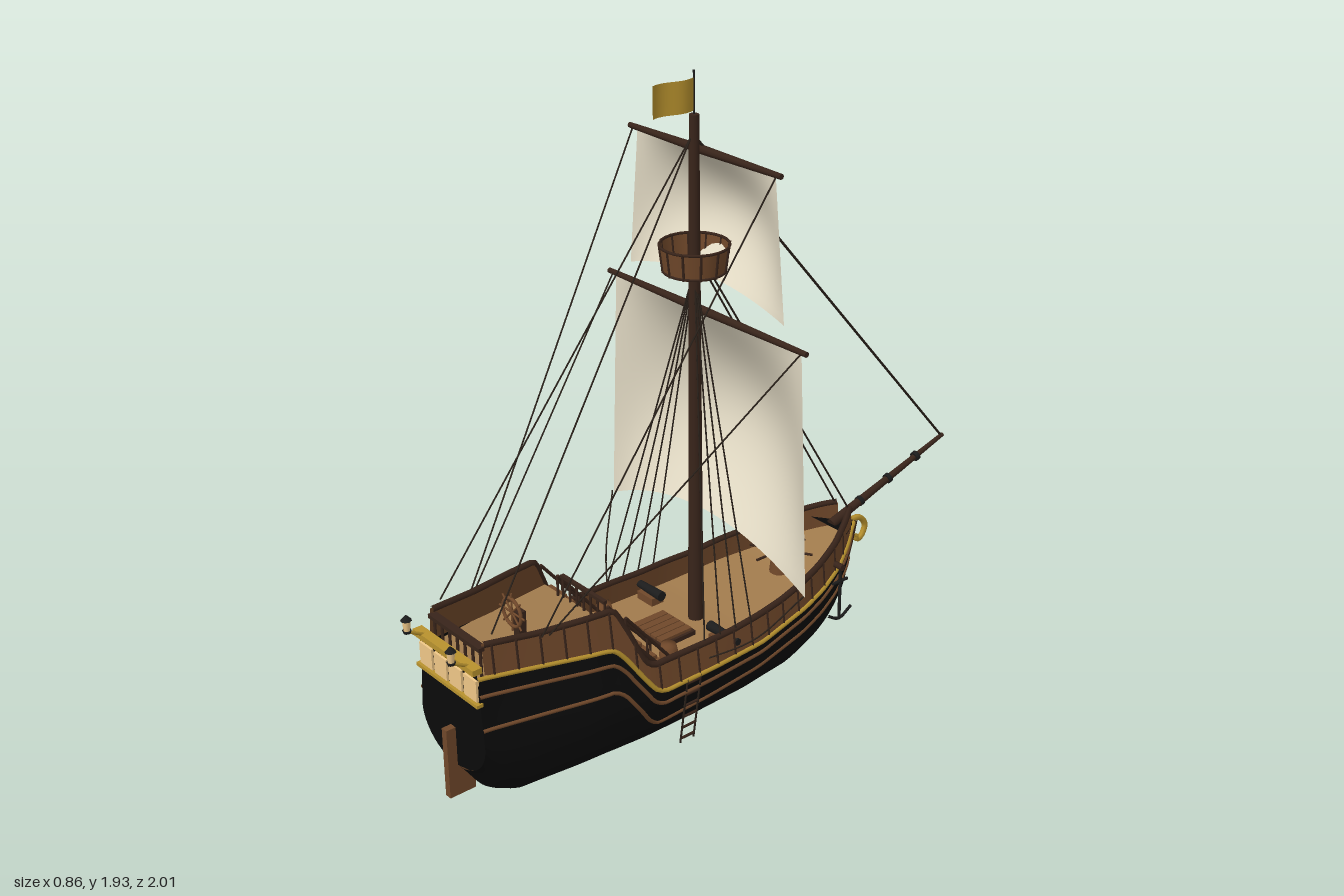
import * as THREE from 'three';

const mat = (color, double) => new THREE.MeshStandardMaterial({ color, side: double ? THREE.DoubleSide : THREE.FrontSide });
const M = {
  hull: mat(0x0b0b0b, true), wood: mat(0x70482a, true), dark: mat(0x38241a), deck: mat(0xa07a4c, true),
  sail: mat(0xe2dac4, true), gold: mat(0xb8922e, true), rope: mat(0x2a211a), pane: mat(0xf0c888), iron: mat(0x1c1c1c),
};
const V = (x, y, z) => new THREE.Vector3(x, y, z);

// Smoothed lookup of a value along the ship, from [z, value] pairs in rising z
const along = (pts, blur = 0.02) => {
  const lin = (z) => {
    if (z <= pts[0][0]) return pts[0][1];
    for (let i = 1; i < pts.length; i++) {
      const [a, va] = pts[i - 1], [b, vb] = pts[i];
      if (z <= b) return va + (vb - va) * (z - a) / (b - a);
    }
    return pts[pts.length - 1][1];
  };
  return (z) => [-1, -0.5, 0, 0.5, 1].reduce((s, k) => s + lin(z + k * blur) / 5, 0);
};
const keel = along([[-0.6, 0.36], [-0.57, 0.24], [-0.53, 0.12], [-0.45, 0.07], [-0.35, 0.03], [-0.2, 0], [0.78, 0], [0.86, 0.04], [0.93, 0.14]], 0.01);
const sheer = along([[-0.6, 0.36], [-0.3, 0.295], [0, 0.258], [0.4, 0.255], [0.52, 0.43], [0.93, 0.47]]);
const railTop = along([[-0.54, 0.43], [-0.3, 0.375], [-0.1, 0.345], [0.1, 0.335], [0.42, 0.34], [0.51, 0.54], [0.74, 0.545], [0.9, 0.56]], 0.01);
const beam = along([[-0.6, 0], [-0.5, 0.075], [-0.4, 0.135], [-0.3, 0.172], [-0.2, 0.2], [0, 0.23], [0.2, 0.24], [0.4, 0.24], [0.6, 0.215], [0.8, 0.175], [0.93, 0.15]]);

// Half width of the hull: quarter ellipse below, leaning inward above
function halfWidth(z, y) {
  const k = keel(z), m = z < 0.4 ? sheer(z) : 0.26;
  if (y >= m) return beam(z) * (1 - 0.6 * (y - m));
  const s = Math.max(0, Math.min(1, (y - k) / (m - k)));
  return beam(z) * Math.sqrt(1 - (1 - s) ** 2);
}

// Surface from a rule f(u, v), u and v in 0..1
function sheet(nu, nv, f) {
  const pos = [], idx = [];
  for (let i = 0; i <= nu; i++) for (let j = 0; j <= nv; j++) pos.push(...f(i / nu, j / nv));
  for (let i = 0; i < nu; i++) for (let j = 0; j < nv; j++) {
    const a = i * (nv + 1) + j, b = a + nv + 1;
    idx.push(a, b, a + 1, b, b + 1, a + 1);
  }
  const g = new THREE.BufferGeometry();
  g.setAttribute('position', new THREE.Float32BufferAttribute(pos, 3));
  g.setIndex(idx);
  g.computeVertexNormals();
  return g;
}

export function createModel() {
  const ship = new THREE.Group();
  ship.name = 'sailingShip';
  const add = (name, geo, m, x = 0, y = 0, z = 0) => {
    const mesh = new THREE.Mesh(geo, m);
    mesh.name = name;
    mesh.position.set(x, y, z);
    ship.add(mesh);
    return mesh;
  };
  const box = (name, m, w, h, d, x, y, z) => add(name, new THREE.BoxGeometry(w, h, d), m, x, y, z);
  const drum = (name, m, r1, r2, h, x, y, z, n = 16) => add(name, new THREE.CylinderGeometry(r1, r2, h, n), m, x, y, z);
  const rod = (name, m, a, b, r1, r2 = r1, n = 8) => {
    const mesh = drum(name, m, r2, r1, a.distanceTo(b), 0, 0, 0, n);
    mesh.position.copy(a).lerp(b, 0.5);
    mesh.quaternion.setFromUnitVectors(V(0, 1, 0), b.clone().sub(a).normalize());
    return mesh;
  };
  const tube = (name, m, pts, r, n = 60) => add(name, new THREE.TubeGeometry(new THREE.CatmullRomCurve3(pts), n, r, 6), m);
  const rope = (a, b, r = 0.0025) => rod('rope', M.rope, a, b, r, r, 5);
  const sides = [-1, 1];

  // Hull, transom and stem
  add('hull', sheet(90, 32, (u, v) => {
    const z = 0.93 - 1.53 * u, t = v * 2 - 1, y = keel(z) + (sheer(z) - keel(z)) * t * t;
    return [Math.sign(t) * halfWidth(z, y), y, z];
  }), M.hull);
  add('transom', sheet(24, 2, (u, v) => {
    const y = keel(0.93) + (0.5 - keel(0.93)) * u;
    return [(v * 2 - 1) * halfWidth(0.93, y), y, 0.93];
  }), M.hull);
  tube('stem', M.dark, [V(0, 0.12, -0.525), V(0, 0.2, -0.555), V(0, 0.28, -0.58), V(0, 0.36, -0.6)], 0.013, 16);
  box('rudder', M.wood, 0.022, 0.22, 0.085, 0, 0.15, 0.918);

  // Decks and bulkhead
  const deck = (name, z0, z1, yOf) => add(name, sheet(40, 2, (u, v) => {
    const z = z0 + (z1 - z0) * u, y = yOf(z);
    return [(1 - 2 * v) * halfWidth(z, y) * 0.97, y, z];
  }), M.deck);
  deck('mainDeck', 0.47, -0.56, (z) => sheer(Math.min(z, 0.36)) + 0.004);
  deck('quarterDeck', 0.92, 0.47, () => 0.445);
  add('bulkhead', sheet(2, 6, (u, v) => {
    const y = 0.25 + 0.195 * v;
    return [(u * 2 - 1) * halfWidth(0.47, y) * 0.97, y, 0.47];
  }), M.wood);
  add('prowCover', sheet(8, 2, (u, v) => {
    const z = -0.48 - 0.11 * u;
    return [(1 - 2 * v) * beam(z), sheer(z) + 0.05 * (1 - u), z];
  }), M.hull);

  for (const s of sides) {
    // Bulwark with caps, seam posts and hull mouldings
    for (const inset of [0, 0.014]) add('bulwark', sheet(70, 3, (u, v) => {
      const z = 0.9 - 1.45 * u, y = sheer(z) + (railTop(z) - sheer(z)) * v;
      return [s * Math.max(0.004, halfWidth(z, y) - inset), y, z];
    }), M.wood);
    const line = (yOf, z0, z1, out) => Array.from({ length: 50 }, (_, i) => {
      const z = z0 + (z1 - z0) * i / 49, y = yOf(z);
      return V(s * (halfWidth(z, y) + out), y, z);
    });
    tube('railCap', M.dark, line(railTop, 0.9, -0.55, -0.007), 0.01, 90);
    tube('goldMoulding', M.gold, line((z) => sheer(z), 0.93, -0.59, 0.001), 0.007, 90);
    tube('upperMoulding', M.wood, line((z) => sheer(z) - 0.035 - 0.02 * Math.max(0, z), 0.93, -0.575, 0), 0.006, 90);
    tube('lowerMoulding', M.wood, line((z) => sheer(z) - 0.09 - 0.07 * Math.max(0, z), 0.93, -0.545, 0), 0.006, 90);
    for (let z = 0.88; z > -0.52; z -= 0.07) {
      const p = (y) => V(s * (halfWidth(z, y) + 0.001), y, z);
      rod('bulwarkPost', M.dark, p(sheer(z)), p(railTop(z)), 0.004, 0.004, 4);
    }

    // Stairs to the quarterdeck with a handrail
    for (let i = 0; i < 6; i++) box('stairStep', M.wood, 0.075, 0.012, 0.026, s * 0.155, 0.28 + i * 0.03, 0.33 + i * 0.026);
    for (const x of [0.115, 0.195]) {
      rod('stairStringer', M.dark, V(s * x, 0.26, 0.32), V(s * x, 0.44, 0.475), 0.007);
      rod('handrail', M.dark, V(s * x, 0.33, 0.33), V(s * x, 0.51, 0.48), 0.005);
      for (const t of [0, 0.5, 1]) rod('baluster', M.dark, V(s * x, 0.26 + 0.18 * t, 0.33 + 0.15 * t), V(s * x, 0.33 + 0.18 * t, 0.33 + 0.15 * t), 0.004);
    }
    // Cask and cannon
    add('cask', new THREE.LatheGeometry([[0, 0], [0.022, 0], [0.029, 0.035], [0.022, 0.07], [0, 0.07]].map(([x, y]) => new THREE.Vector2(x, y)), 14), M.wood, s * 0.15, 0.26, 0.29);
    box('gunCarriage', M.wood, 0.07, 0.025, 0.045, s * 0.165, 0.275, 0.1);
    rod('cannon', M.iron, V(s * 0.11, 0.298, 0.1), V(s * 0.235, 0.298, 0.1), 0.016, 0.011, 12);

    // Anchor hanging from its beam
    rod('anchorBeam', M.dark, V(s * 0.1, 0.34, -0.38), V(s * 0.175, 0.34, -0.38), 0.01);
    rod('anchorShank', M.iron, V(s * 0.165, 0.33, -0.38), V(s * 0.165, 0.16, -0.38), 0.005);
    rod('anchorStock', M.iron, V(s * 0.165, 0.29, -0.41), V(s * 0.165, 0.29, -0.35), 0.005);
    tube('anchorArms', M.iron, [V(s * 0.165, 0.185, -0.43), V(s * 0.165, 0.16, -0.38), V(s * 0.165, 0.185, -0.33)], 0.005, 12);

    // Boarding ladder
    for (const z of [0.25, 0.3]) rod('ladderSide', M.rope, V(s * 0.245, 0.26, z), V(s * 0.21, 0.03, z), 0.003);
    for (let i = 0; i < 6; i++) rod('ladderRung', M.dark, V(s * (0.212 + i * 0.006), 0.045 + i * 0.04, 0.25), V(s * (0.212 + i * 0.006), 0.045 + i * 0.04, 0.3), 0.004);

    // Stern lantern
    rod('lanternArm', M.gold, V(s * 0.105, 0.5, 0.93), V(s * 0.105, 0.53, 0.985), 0.005);
    drum('lanternGlass', M.pane, 0.012, 0.009, 0.032, s * 0.105, 0.552, 0.99, 8);
    drum('lanternRoof', M.iron, 0.002, 0.016, 0.016, s * 0.105, 0.576, 0.99, 8);
    drum('lanternBase', M.iron, 0.013, 0.01, 0.008, s * 0.105, 0.533, 0.99, 8);

    // Stays, braces, sheets and shrouds
    rope(V(0, 1.75, 0.07), V(s * 0.12, 0.58, 0.87));
    rope(V(s * 0.295, 1.7, 0.035), V(s * 0.165, 0.54, 0.74));
    rope(V(s * 0.4, 1.235, 0.035), V(s * 0.17, 0.54, 0.72));
    tube('sheetRope', M.rope, [V(s * 0.43, 0.51, 0.03), V(s * 0.34, 0.37, 0.13), V(s * 0.22, 0.28, 0.22)], 0.0025, 16);
    for (const z of [0.04, 0.1, 0.16, 0.22]) rope(V(0, 1.37, 0.06), V(s * 0.225, 0.33, z));
  }

  // Stern windows, gallery and trim
  for (let i = 0; i < 4; i++) box('sternWindow', M.pane, 0.058, 0.065, 0.01, -0.105 + i * 0.07, 0.435, 0.932);
  box('windowSill', M.gold, 0.29, 0.01, 0.02, 0, 0.395, 0.934);
  box('sternRail', M.gold, 0.285, 0.018, 0.03, 0, 0.5, 0.935);
  box('sternCap', M.dark, 0.24, 0.012, 0.025, 0, 0.545, 0.9);
  for (let i = -3; i <= 3; i++) drum('sternBaluster', M.dark, 0.005, 0.005, 0.1, i * 0.036, 0.495, 0.9, 6);

  // Quarterdeck front rail
  box('frontRail', M.dark, 0.2, 0.01, 0.012, 0, 0.515, 0.475);
  for (let i = -3; i <= 3; i++) drum('railPost', M.dark, 0.004, 0.004, 0.07, i * 0.032, 0.48, 0.475, 6);

  // Steering wheel
  box('wheelStand', M.dark, 0.025, 0.09, 0.025, 0, 0.485, 0.695);
  add('wheelRim', new THREE.TorusGeometry(0.042, 0.005, 8, 24), M.wood, 0, 0.535, 0.72);
  for (let i = 0; i < 4; i++) {
    const d = V(Math.cos(i * Math.PI / 4), Math.sin(i * Math.PI / 4), 0).multiplyScalar(0.058), c = V(0, 0.535, 0.72);
    rod('wheelSpoke', M.wood, c.clone().sub(d), c.clone().add(d), 0.003);
  }

  // Cargo hatch and capstan
  box('hatchFrame', M.dark, 0.15, 0.02, 0.13, 0, 0.265, 0.19);
  for (let i = 0; i < 5; i++) box('hatchPlank', M.wood, 0.024, 0.01, 0.115, (i - 2) * 0.027, 0.279, 0.19);
  drum('capstan', M.wood, 0.028, 0.036, 0.07, 0, 0.325, -0.285);
  drum('capstanHead', M.wood, 0.04, 0.04, 0.018, 0, 0.365, -0.285);
  for (let i = 0; i < 3; i++) {
    const a = Math.PI / 6 + i * Math.PI / 3, d = V(Math.cos(a) * 0.1, 0, Math.sin(a) * 0.1), c = V(0, 0.365, -0.285);
    rod('capstanBar', M.dark, c.clone().sub(d), c.clone().add(d), 0.004);
  }

  // Bowsprit and curled gold figurehead
  rod('bowsprit', M.dark, V(0, 0.38, -0.5), V(0, 0.535, -0.998), 0.016, 0.007, 12);
  for (const t of [0.25, 0.5, 0.75]) drum('bowspritBand', M.iron, 0.016, 0.016, 0.014, 0, 0.38 + 0.155 * t, -0.5 - 0.498 * t).rotation.x = -1.27;
  tube('figurehead', M.gold, [V(0, 0.365, -0.585), V(0, 0.36, -0.625), V(0, 0.325, -0.65), V(0, 0.29, -0.635), V(0, 0.285, -0.615), V(0, 0.3, -0.61)], 0.01, 24);

  // Mast, flag and lookout
  rod('mast', M.dark, V(0, 0.25, 0.06), V(0, 1.81, 0.06), 0.023, 0.014, 16);
  rod('flagPole', M.iron, V(0, 1.8, 0.06), V(0, 1.93, 0.06), 0.003);
  add('flag', sheet(12, 3, (u, v) => [0.008 * Math.sin(u * 6), 1.82 + 0.09 * v, 0.06 + 0.14 * u]), M.gold);
  add('lookoutTub', new THREE.CylinderGeometry(0.098, 0.088, 0.08, 20, 1, true), M.wood, 0, 1.405, 0.06);
  drum('lookoutFloor', M.wood, 0.088, 0.088, 0.008, 0, 1.369, 0.06, 20);
  for (const [y, r] of [[1.37, 0.089], [1.443, 0.098]]) add('lookoutHoop', new THREE.TorusGeometry(r, 0.004, 6, 24), M.dark, 0, y, 0.06).rotation.x = Math.PI / 2;
  for (let i = 0; i < 12; i++) {
    const c = Math.cos(i * Math.PI / 6), s = Math.sin(i * Math.PI / 6);
    rod('lookoutStave', M.dark, V(c * 0.089, 1.366, 0.06 + s * 0.089), V(c * 0.099, 1.446, 0.06 + s * 0.099), 0.004, 0.004, 5);
  }

  // Yards and billowing sails
  for (const [name, y, half, wTop, wFoot, yFoot, arch, belly] of [
    ['lower', 1.24, 0.42, 0.395, 0.43, 0.51, 0.11, 0.14], ['upper', 1.705, 0.312, 0.285, 0.325, 1.3, 0.055, 0.095]]) {
    for (const s of sides) rod(name + 'Yard', M.dark, V(0, y, 0.03), V(s * half, y, 0.03), 0.013, 0.008, 10);
    add(name + 'Sail', sheet(24, 20, (u, v) => {
      const t = u * 2 - 1, foot = yFoot + arch * (1 - t * t);
      return [t * (wTop + (wFoot - wTop) * v), y - 0.008 + (foot - y) * v, 0.025 - belly * (1 - t * t) * Math.sin(Math.PI * v)];
    }), M.sail);
  }

  // Forestays
  rope(V(0, 1.74, 0.05), V(0, 0.535, -0.99), 0.004);
  for (const s of sides) rope(V(s * 0.012, 1.38, 0.03), V(s * 0.03, 0.42, -0.55), 0.003);
  return ship;
}
